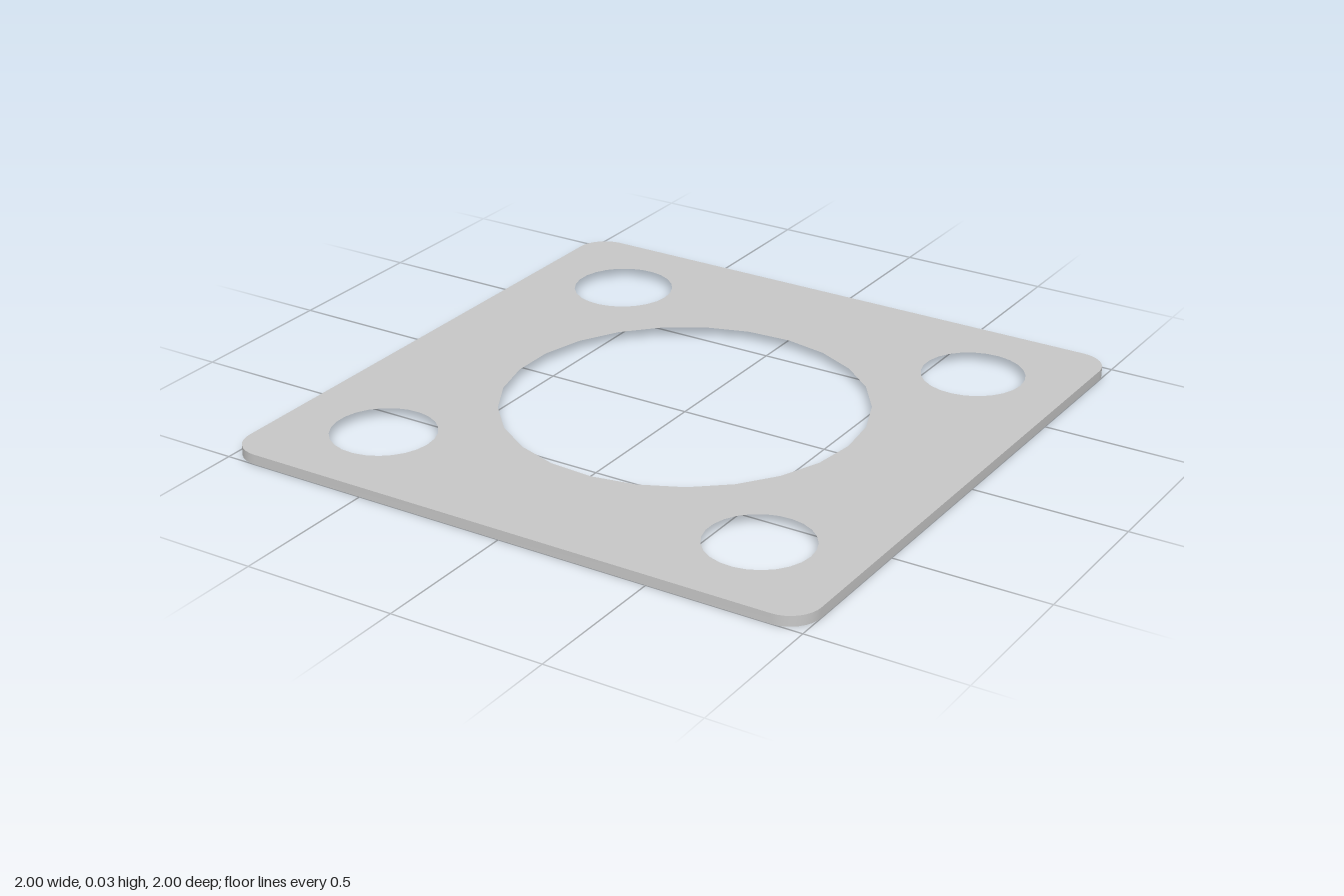
import * as THREE from 'three';
import { toCreasedNormals } from 'three/addons/utils/BufferGeometryUtils.js';

const HALF = 1, CORNER = 0.1, THICK = 0.033, SIDES = 25;

// Regular polygon hole, first corner towards +x
function hole(x, y, r) {
  const pts = [];
  for (let i = 0; i < SIDES; i++) {
    const a = (i / SIDES) * Math.PI * 2;
    pts.push(new THREE.Vector2(x + r * Math.cos(a), y + r * Math.sin(a)));
  }
  return new THREE.Path(pts);
}

// Rounded square outline, counter-clockwise
function outline() {
  const pts = [], c = HALF - CORNER, steps = 8;
  for (let q = 0; q < 4; q++) {
    const mid = Math.PI / 4 + (q * Math.PI) / 2;
    const cx = c * Math.sign(Math.cos(mid)), cy = c * Math.sign(Math.sin(mid));
    for (let i = 0; i <= steps; i++) {
      const a = ((q + i / steps) * Math.PI) / 2;
      pts.push(new THREE.Vector2(cx + CORNER * Math.cos(a), cy + CORNER * Math.sin(a)));
    }
  }
  return pts;
}

// Thin rim around the outline
function rimGeometry(pts) {
  const pos = [], n = pts.length;
  pts.forEach((p, i) => {
    const q = pts[(i + 1) % n];
    const a = [p.x, 0, -p.y], b = [q.x, 0, -q.y];
    const c = [q.x, THICK, -q.y], d = [p.x, THICK, -p.y];
    pos.push(...a, ...b, ...c, ...a, ...c, ...d);
  });
  const g = new THREE.BufferGeometry();
  g.setAttribute('position', new THREE.Float32BufferAttribute(pos, 3));
  return toCreasedNormals(g, Math.PI / 6);
}

export function createModel() {
  const group = new THREE.Group();
  group.name = 'flangePlate';
  // Double-sided, as the plate is an open shell underneath
  const metal = new THREE.MeshStandardMaterial({ color: 0xc8c8c8, side: THREE.DoubleSide });
  metal.name = 'grey metal';

  const pts = outline();
  const shape = new THREE.Shape(pts);
  shape.holes.push(hole(0, 0, 0.583));
  for (const x of [-1, 1]) for (const y of [-1, 1]) shape.holes.push(hole(x * 0.667, y * 0.667, 0.167));

  const add = (name, geometry) => {
    const mesh = new THREE.Mesh(geometry, metal);
    mesh.name = name;
    group.add(mesh);
  };

  // Face with a centre bore and four bolt holes, and the rim that hangs below its edge
  add('topFace', new THREE.ShapeGeometry(shape).rotateX(-Math.PI / 2).translate(0, THICK, 0));
  add('outerRim', rimGeometry(pts));
  return group;
}
